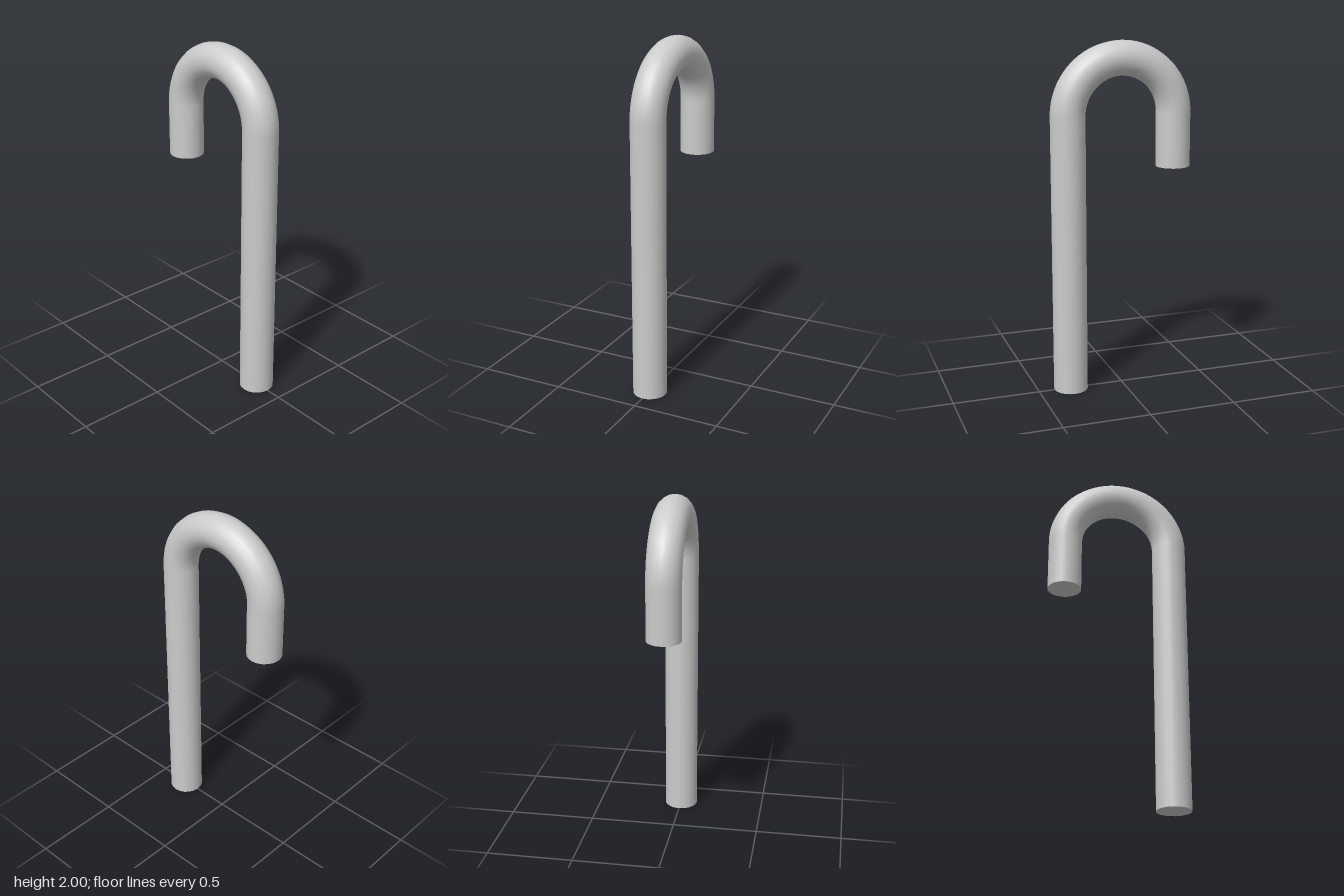
import * as THREE from 'three';

const R = 0.098;      // tube radius
const BEND = 0.31;    // radius of the bend's centre line
const BEND_Y = 1.592; // height where the bend begins
const SIDES = 20;

export function createModel() {
  const group = new THREE.Group();
  const material = new THREE.MeshStandardMaterial({ color: 0xcccccc });

  const add = (name, geometry, x, y) => {
    const mesh = new THREE.Mesh(geometry, material);
    mesh.name = name;
    mesh.position.set(x, y, 0);
    group.add(mesh);
  };

  // Straight section from the bend down to a flat closed end
  const addStraight = (name, x, bottom) => {
    const length = BEND_Y - bottom;
    add(name, new THREE.CylinderGeometry(R, R, length, SIDES, 1, true), x, bottom + length / 2);
    add(name + 'End', new THREE.CircleGeometry(R, SIDES).rotateX(Math.PI / 2), x, bottom);
  };

  addStraight('shaft', BEND, 0);
  addStraight('hookTip', -BEND, 1.28);

  // Half-circle crook joining the two straight sections
  add('crook', new THREE.TorusGeometry(BEND, R, SIDES, 40, Math.PI), 0, BEND_Y);

  return group;
}
